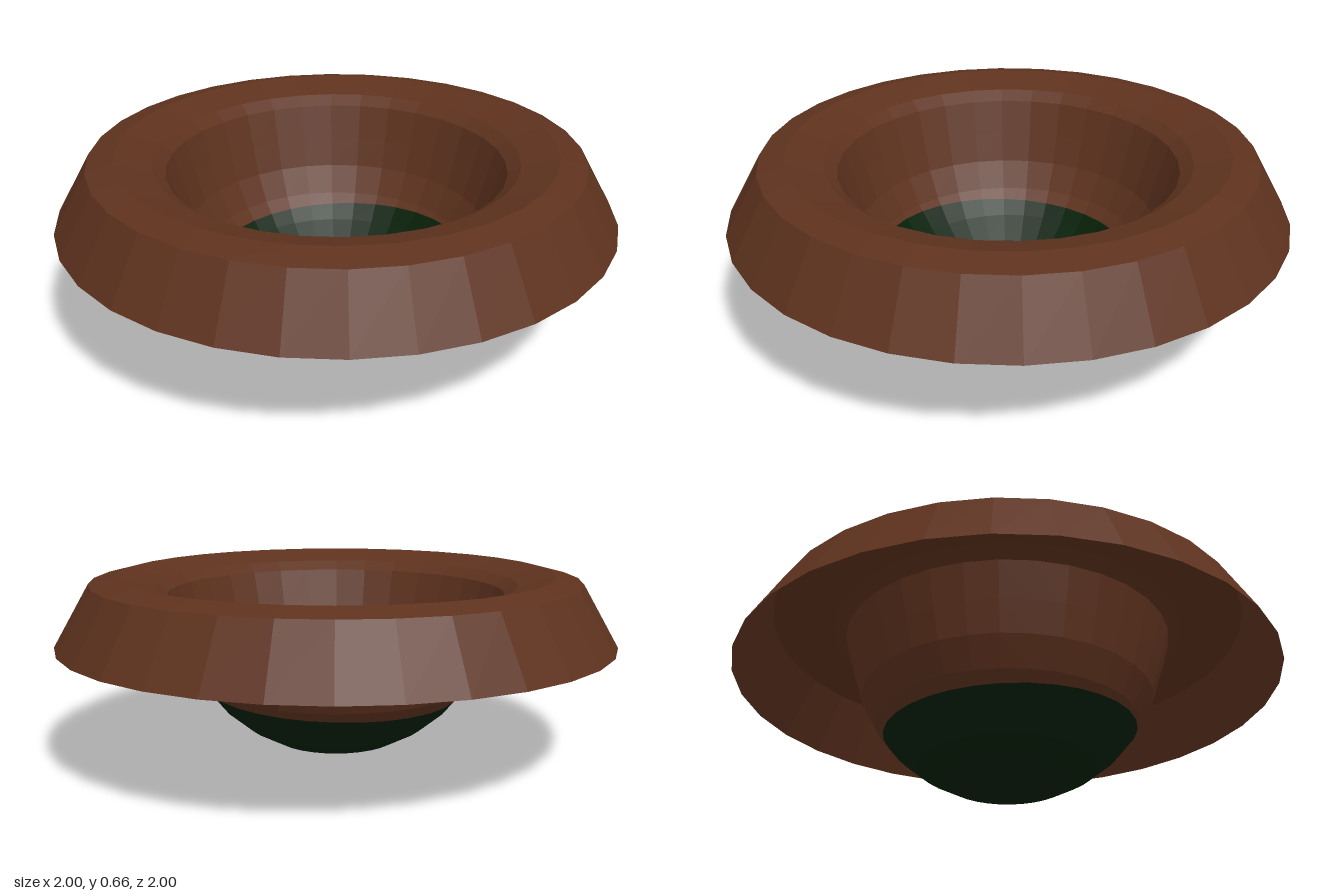
import * as THREE from 'three';

const SEGMENTS = 32;
const RADIUS = 0.58; // radius of the rounded bowl

// Point on the rounded bowl profile, k steps of 11.25 degrees up from the bottom
function bowlPoint(k) {
  const a = (k * Math.PI) / 16;
  return new THREE.Vector2(RADIUS * Math.sin(a), RADIUS * (1 - Math.cos(a)));
}

// Lathe whose row `row` is slid along the sloping band to make a slightly tilted edge
function tiltedLathe(points, row) {
  const geo = new THREE.LatheGeometry(points, SEGMENTS);
  const pos = geo.attributes.position;
  const low = bowlPoint(4), high = bowlPoint(5);
  for (let i = 0; i <= SEGMENTS; i++) {
    const a = (i / SEGMENTS) * Math.PI * 2;
    const r = 0.4625 + 0.012 * Math.sin(a) + 0.01 * Math.cos(a);
    const t = (r - low.x) / (high.x - low.x);
    const y = low.y + t * (high.y - low.y);
    pos.setXYZ(i * points.length + row, r * Math.sin(a), y, r * Math.cos(a));
  }
  geo.computeVertexNormals();
  return geo;
}

export function createModel() {
  const model = new THREE.Group();
  const brown = new THREE.MeshStandardMaterial({ name: 'brown', color: 0x5e321e, flatShading: true, side: THREE.DoubleSide });
  const green = new THREE.MeshStandardMaterial({ name: 'dark green', color: 0x062008, flatShading: true, side: THREE.DoubleSide });

  function add(name, geometry, material) {
    const mesh = new THREE.Mesh(geometry, material);
    mesh.name = name;
    model.add(mesh);
  }

  const edge = bowlPoint(4.6); // colour edge, tilted by tiltedLathe

  // Green bottom of the bowl
  add('bowlBase', tiltedLathe([...[0, 1, 2, 3, 4].map(bowlPoint), edge], 5), green);

  // Brown wall of the bowl, running straight up to the lip
  const lip = new THREE.Vector2(0.605, 0.592);
  add('bowlWall', tiltedLathe([edge, ...[5, 6, 7].map(bowlPoint), lip], 0), brown);

  // Rim: rolls outward from the lip, bevels over and slopes down, open underneath
  const rim = [[0.65, 0.625], [0.78, 0.662], [0.875, 0.638], [1, 0.42]];
  add('rim', new THREE.LatheGeometry([lip, ...rim.map(([x, y]) => new THREE.Vector2(x, y))], SEGMENTS), brown);

  return model;
}
